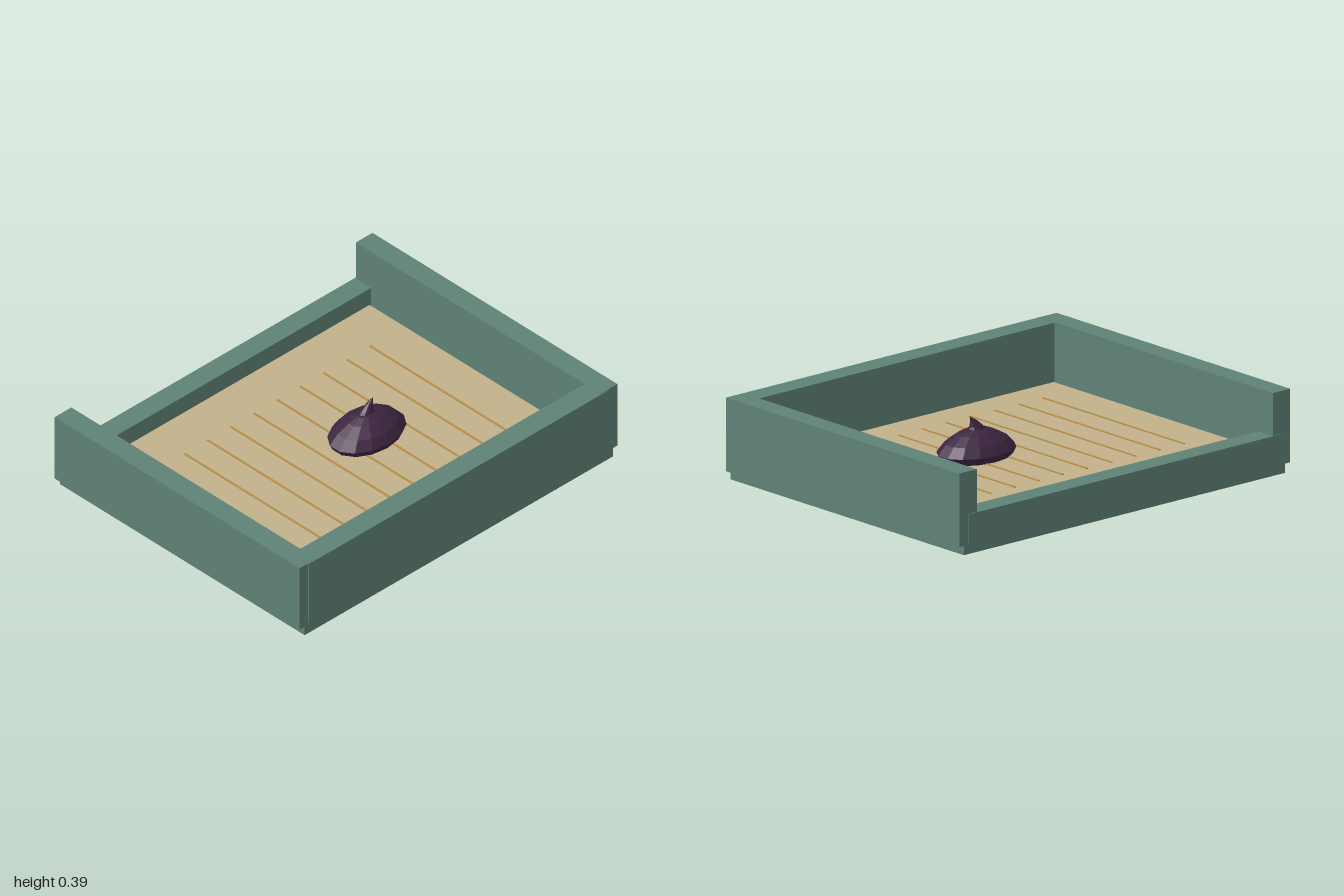
import * as THREE from 'three';

export function createModel() {
  const root = new THREE.Group();
  root.name = 'sandTray';
  const material = (name, color, flatShading = false) => {
    const m = new THREE.MeshStandardMaterial({ color, flatShading });
    m.name = name;
    return m;
  };
  const green = material('trayGreen', 0x5f8276);
  const sand = material('sand', 0xc2b18a);
  const ochre = material('rakedOchre', 0xb8904c);
  const plum = material('darkPlum', 0x3d2540, true);

  const add = (name, geometry, mat) => {
    const mesh = new THREE.Mesh(geometry, mat);
    mesh.name = name;
    root.add(mesh);
    return mesh;
  };
  // Box given by its min and max on each axis
  const box = (name, mat, x0, x1, y0, y1, z0, z1) =>
    add(name, new THREE.BoxGeometry(x1 - x0, y1 - y0, z1 - z0), mat)
      .position.set((x0 + x1) / 2, (y0 + y1) / 2, (z0 + z1) / 2);

  // Tray: floor slab, tall front and sides, low entry wall at the back
  box('floor', green, -0.97, 0.97, 0, 0.09, -0.792, 0.797);
  box('frontWall', green, -0.945, 0.945, 0.045, 0.39, 0.69, 0.8);
  box('backWall', green, -0.945, 0.945, 0.045, 0.19, -0.8, -0.695);
  box('leftWall', green, 0.895, 1, 0.045, 0.392, -0.795, 0.795);
  box('rightWall', green, -1, -0.895, 0.045, 0.392, -0.795, 0.795);

  // Sand bed with raked lines
  box('sandBed', sand, -0.87, 0.865, 0.085, 0.12, -0.675, 0.668);
  for (let i = 0; i < 10; i++) {
    const x = -0.665 + i * 0.146;
    box('rakeLine' + (i + 1), ochre, x - 0.005, x + 0.005, 0.118, 0.124, -0.45, 0.51);
  }

  // Faceted oval mound
  const profile = [
    [0, 0.1], [0.15, 0.1], [0.19, 0.125], [0.207, 0.155],
    [0.165, 0.2], [0.1, 0.236], [0.05, 0.255], [0, 0.26],
  ].map(([r, y]) => new THREE.Vector2(r, y));
  const mound = add('mound', new THREE.LatheGeometry(profile, 14), plum);
  mound.scale.z = 0.7;
  mound.position.set(0.165, 0, 0.03);

  // Curled tip leaning to the left
  const tipGeometry = new THREE.ConeGeometry(0.055, 0.08, 8, 3);
  const p = tipGeometry.attributes.position;
  for (let i = 0; i < p.count; i++) {
    const t = (p.getY(i) + 0.04) / 0.08;
    p.setX(i, p.getX(i) + 0.045 * t * t);
  }
  tipGeometry.computeVertexNormals();
  const tip = add('moundTip', tipGeometry, plum);
  tip.scale.z = 0.7;
  tip.position.set(0.165, 0.28, 0.025);

  return root;
}
